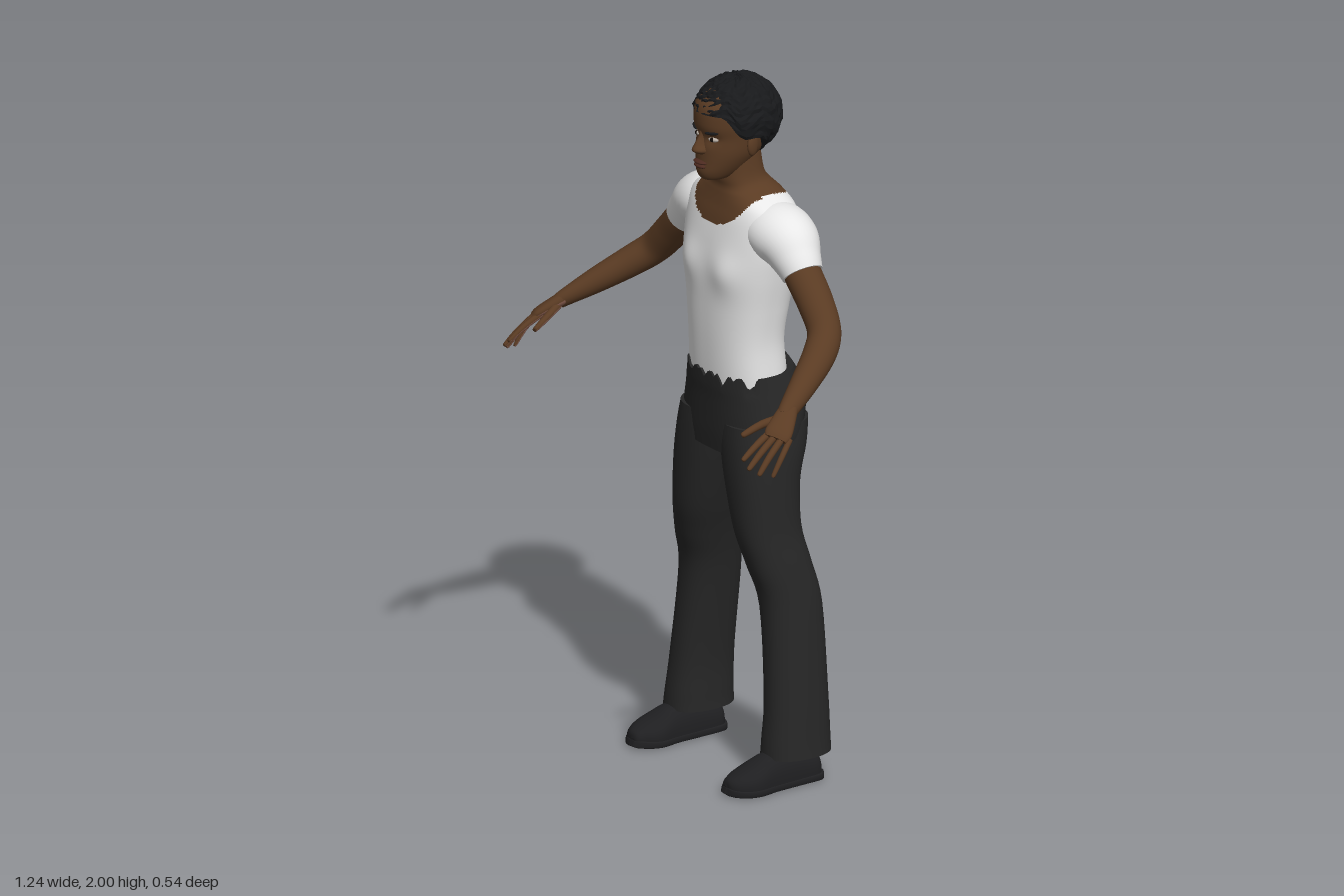
import * as THREE from 'three';
import { mergeGeometries } from 'three/addons/utils/BufferGeometryUtils.js';

const mat = (name, color, side = THREE.FrontSide) => {
  const m = new THREE.MeshStandardMaterial({ color, side });
  m.name = name;
  return m;
};
const V = (x, y, z) => new THREE.Vector3(x, y, z);

// Smoothly subdivide rows of numbers (Catmull-Rom on every column)
function refine(rows, k) {
  const out = [], n = rows.length - 1;
  for (let i = 0; i < n; i++) for (let j = 0; j < k; j++) {
    const t = j / k, p = rows[Math.max(i - 1, 0)], a = rows[i], b = rows[i + 1], q = rows[Math.min(i + 2, n)];
    out.push(a.map((v, c) => v + 0.5 * ((b[c] - p[c]) * t + (2 * p[c] - 5 * v + 4 * b[c] - q[c]) * t * t
      + (3 * v - p[c] - 3 * b[c] + q[c]) * t * t * t)));
  }
  out.push(rows[n]);
  return out;
}

// Skin a stack of closed rings; fn(row, angle) gives a point, the ends are capped
function skin(rows, sides, fn, caps = true) {
  const pos = [], idx = [], n = rows;
  const ring = (j) => {
    for (let i = 0; i < sides; i++) pos.push(...fn(j, (i / sides) * Math.PI * 2).toArray());
  };
  for (let j = 0; j < n; j++) ring(j);
  for (let j = 0; j < n - 1; j++) for (let i = 0; i < sides; i++) {
    const a = j * sides + i, b = j * sides + (i + 1) % sides;
    idx.push(a, b, b + sides, a, b + sides, a + sides);
  }
  if (caps) for (const j of [0, n - 1]) {
    const s = pos.length / 3, c = V(0, 0, 0);
    ring(j);
    for (let i = 0; i < sides; i++) c.add(fn(j, (i / sides) * Math.PI * 2));
    pos.push(...c.divideScalar(sides).toArray());
    for (let i = 0; i < sides; i++) {
      const a = s + i, b = s + (i + 1) % sides;
      idx.push(s + sides, j ? a : b, j ? b : a);
    }
  }
  const g = new THREE.BufferGeometry();
  g.setAttribute('position', new THREE.Float32BufferAttribute(pos, 3));
  g.setIndex(idx);
  g.computeVertexNormals();
  return g;
}
const pw = (v, e) => Math.sign(v) * Math.abs(v) ** (2 / e);

// Horizontal rings: rows of [y, xMin, xMax, zFront, zBack]
function body(rows, k, sides, e, rule = (p) => p) {
  const r = refine(rows, k);
  return skin(r.length, sides, (j, a) => {
    const [y, x0, x1, zf, zb] = r[j];
    return rule(V((x0 + x1) / 2 + (x1 - x0) / 2 * pw(Math.sin(a), e), y, (zf + zb) / 2 + (zf - zb) / 2 * pw(Math.cos(a), e)));
  });
}
const sym = (rows) => rows.map(([y, w, f, b]) => [y, -w, w, f, b]);

// Rings across a path: rows of [x, y, z, width, thickness]; ref is the thickness direction
function tube(rows, k, sides, ref, e = 2, rule = (p) => p) {
  const r = refine(rows, k), at = (j) => V(...r[Math.min(Math.max(j, 0), r.length - 1)]);
  return skin(r.length, sides, (j, a) => {
    const T = at(j + 1).sub(at(j - 1)).normalize();
    const B = ref.clone().addScaledVector(T, -ref.dot(T)).normalize(), A = T.clone().cross(B);
    return rule(at(j).addScaledVector(A, r[j][3] * pw(Math.sin(a), e)).addScaledVector(B, r[j][4] * pw(Math.cos(a), e)));
  });
}

// Sort faces into two material groups: second material where rule(centre, normal) holds
function paint(g, rule) {
  const P = g.attributes.position, id = g.index.array, sets = [[], []], tri = new THREE.Triangle();
  for (let i = 0; i < id.length; i += 3) {
    tri.setFromAttributeAndIndices(P, id[i], id[i + 1], id[i + 2]);
    const pick = rule(tri.getMidpoint(V(0, 0, 0)), tri.getNormal(V(0, 0, 0))) ? 1 : 0;
    sets[pick].push(id[i], id[i + 1], id[i + 2]);
  }
  g.setIndex([...sets[0], ...sets[1]]);
  g.clearGroups();
  g.addGroup(0, sets[0].length, 0);
  g.addGroup(sets[0].length, sets[1].length, 1);
  return g;
}
function mirror(g) {
  const m = g.clone().scale(-1, 1, 1), id = m.index.array;
  for (let i = 0; i < id.length; i += 3) [id[i], id[i + 1]] = [id[i + 1], id[i]];
  return m;
}
const blob = (x, y, z, rx, ry, rz, yaw = 0, roll = 0) =>
  new THREE.SphereGeometry(1, 20, 14).scale(rx, ry, rz).rotateZ(roll).rotateY(yaw).translate(x, y, z);
const bell = (v, c, w) => Math.exp(-(((v - c) / w) ** 2));

export function createModel() {
  const root = new THREE.Group();
  root.name = 'standingMan';
  const M = {
    skin: mat('skin', 0x5a3b23), palm: mat('palmSkin', 0x83594a), lips: mat('lips', 0x4c2a20),
    shirt: mat('whiteShirt', 0xe8e8e8), cloth: mat('trouserCloth', 0x262626), shoe: mat('shoeLeather', 0x1f1f21),
    hair: mat('hair', 0x18191b, THREE.DoubleSide), eye: mat('eyeWhite', 0xb8aea4), dark: mat('iris', 0x120c08),
  };
  M.hair.flatShading = true;
  const add = (name, g, m) => {
    const mesh = new THREE.Mesh(g, m);
    mesh.name = name;
    root.add(mesh);
  };
  const pair = (name, g, m) => {
    add(name + 'Left', g, m);
    add(name + 'Right', mirror(g), m);
  };

  // Torso and neck in one surface, with a scooped neckline
  const torso = body(sym([[1.06, .155, -.01, -.2], [1.14, .157, 0, -.212], [1.25, .154, .006, -.205], [1.35, .166, .008, -.218],
    [1.45, .184, .008, -.235], [1.53, .196, -.002, -.24], [1.6, .196, -.016, -.236], [1.64, .178, -.028, -.226],
    [1.67, .128, -.036, -.21], [1.69, .09, -.04, -.193], [1.72, .072, -.038, -.172], [1.79, .064, -.045, -.16]]), 8, 112, 2.4, (p) => {
    if (p.z > -.1) p.z += .012 * bell(Math.abs(p.x), .085, .05) * bell(p.y, 1.46, .055);
    else p.z += .014 * bell(p.x, 0, .035) * bell(p.y, 1.4, .16);
    return p;
  });
  paint(torso, (c) => c.y > 1.685 || (c.x / .125) ** 2 + ((c.y - 1.69) / (c.z > -.1 ? .108 : .045)) ** 2 < 1);
  add('shirtTorsoAndNeck', torso, [M.shirt, M.skin]);

  // Sleeves and arms
  const back = V(0, 0, -1);
  pair('shirtSleeve', tube([[.08, 1.585, -.13, .07, .085], [.15, 1.578, -.132, .082, .095], [.205, 1.56, -.132, .08, .088],
    [.25, 1.523, -.128, .065, .069], [.278, 1.493, -.126, .056, .058]], 6, 36, back), M.shirt);
  pair('arm', tube([[.22, 1.55, -.13, .048, .05], [.277, 1.495, -.126, .05, .053], [.34, 1.43, -.125, .049, .051],
    [.4, 1.367, -.112, .046, .047], [.443, 1.323, -.065, .043, .046], [.49, 1.27, .02, .035, .038],
    [.527, 1.226, .095, .024, .028], [.538, 1.212, .115, .02, .025]], 6, 28, V(0, 0, 1)), M.skin);

  // Hands: palm, four fingers and a thumb, lighter on the palm side
  const palmDir = V(-.0035, -.0056, -.0023).normalize();
  const digits = [
    [[.547, 1.185, .165], [.553, 1.155, .222], [.556, 1.125, .266]], [[.566, 1.178, .165], [.575, 1.14, .222], [.58, 1.105, .264]],
    [[.583, 1.173, .155], [.594, 1.13, .207], [.599, 1.09, .243]], [[.596, 1.168, .14], [.609, 1.125, .178], [.613, 1.082, .207]],
    [[.533, 1.208, .115], [.508, 1.192, .17], [.494, 1.168, .223]]];
  const hand = mergeGeometries([
    tube([[.525, 1.23, .09, .024, .021], [.545, 1.208, .122, .032, .018], [.568, 1.182, .158, .038, .015],
      [.576, 1.17, .174, .032, .01]], 5, 24, palmDir, 2.3),
    ...digits.map((d, i) => {
      const r = i === 4 ? .012 : i === 3 ? .0085 : .01;
      const tip = d[2].map((v, c) => v + (v - d[1][c]) * .06);
      return tube([[...d[0], r, r], [...d[1], r * .95, r * .9], [...d[2], r * .7, r * .6], [...tip, r * .2, r * .2]], 4, 12, palmDir);
    })]);
  pair('hand', paint(hand, (c, n) => n.dot(palmDir) > .35), [M.skin, M.palm]);

  // Trousers: hips with an uneven front waist edge, and two flared legs
  add('trouserHips', body(sym([[.93, .2, -.004, -.222], [.98, .205, 0, -.24], [1.03, .198, .002, -.258], [1.08, .186, .004, -.268],
    [1.12, .174, .007, -.26], [1.16, .162, .008, -.236]]), 6, 96, 2.4, (p) => {
    const edge = THREE.MathUtils.smoothstep(p.y, 1.09, 1.16);
    if (p.z > -.06) p.y -= edge * (.022 * Math.max(0, Math.sin(p.x * 85 + 1.6)) + .012 * Math.max(0, Math.sin(p.x * 190)));
    else p.y += edge * .015 * bell(p.x, 0, .07);
    if (p.z < -.15) p.z += .022 * bell(p.x, 0, .03) * bell(p.y, 1.02, .07);
    return p;
  }), M.cloth);
  pair('trouserLeg', body([[.085, .155, .307, -.034, -.237], [.13, .157, .302, -.038, -.236], [.25, .155, .29, -.05, -.235],
    [.5, .122, .262, -.058, -.235], [.62, .095, .243, -.03, -.214], [.72, .064, .225, -.008, -.196], [.85, .026, .216, 0, -.203],
    [.95, -.002, .208, 0, -.235], [1.02, -.01, .195, -.004, -.25]], 5, 40, 2.3), M.cloth);

  // Shoes: rounded upper on a flat sole
  const up = V(0, 1, 0);
  pair('shoeUpper', tube([[.23, .02, -.205, .025, .04], [.23, .02, -.185, .045, .06], [.23, .02, -.12, .05, .078],
    [.231, .02, -.04, .053, .078], [.231, .02, .02, .059, .055], [.226, .02, .06, .048, .04], [.22, .02, .085, .026, .026],
    [.219, .02, .092, .01, .01]], 5, 28, up, 2.4, (p) => p.setY(Math.max(p.y, .015))), M.shoe);
  pair('shoeSole', tube([[.23, .011, -.21, .028, .011], [.23, .011, -.19, .05, .011], [.23, .011, -.12, .054, .011],
    [.231, .011, -.04, .056, .011], [.231, .011, .02, .064, .011], [.226, .012, .06, .053, .011], [.22, .015, .088, .028, .011],
    [.219, .017, .096, .008, .008]], 4, 24, up, 6), M.shoe);

  // Head, nose, ears and mouth
  add('head', body(sym([[1.712, .02, .002, -.05], [1.72, .038, .016, -.08], [1.74, .054, .024, -.12], [1.77, .07, .022, -.15],
    [1.8, .081, .02, -.18], [1.84, .087, .017, -.2], [1.88, .091, .025, -.21], [1.93, .088, .018, -.2], [1.97, .058, -.02, -.15]]),
  6, 48, 2.1, (p) => {
    if (p.z > -.05) p.z -= .008 * bell(Math.abs(p.x), .036, .018) * bell(p.y, 1.838, .014);
    return p;
  }), M.skin);
  add('nose', body(sym([[1.79, .012, .022, -.02], [1.797, .02, .038, -.02], [1.806, .021, .046, -.02], [1.822, .014, .038, -.02],
    [1.842, .01, .026, -.02], [1.862, .012, .02, -.02]]), 5, 24, 2), M.skin);
  add('upperLip', blob(0, 1.768, .02, .026, .006, .015), M.lips);
  add('lowerLip', blob(0, 1.757, .02, .023, .007, .014), M.lips);
  pair('ear', blob(.089, 1.82, -.092, .01, .032, .021, .3), M.skin);

  // Eyes and brows
  pair('eyeWhite', blob(.036, 1.839, .001, .016, .007, .009, .4), M.eye);
  pair('iris', blob(.036, 1.839, .006, .0065, .0065, .006, .3), M.dark);
  pair('eyebrow', blob(.038, 1.859, .01, .022, .0045, .007, .45, .1), M.hair);

  // Short tufted hair, low at the nape and high on the forehead
  const tuft = (i, j) => {
    const s = Math.sin(i * 12.9898 + j * 78.233) * 43758.5453;
    return s - Math.floor(s);
  };
  const N = 22;
  add('hair', skin(N + 1, 56, (j, a) => {
    const f = Math.cos(a), low = f > 0 ? THREE.MathUtils.lerp(-.33, .25, THREE.MathUtils.smoothstep(f, .35, .8))
      : THREE.MathUtils.lerp(-.33, -1.05, THREE.MathUtils.smoothstep(-f, 0, .6));
    const t = Math.max(j - 1, 0) / (N - 1), phi = low + (Math.PI / 2 - low) * t;
    const i = Math.round(a * 56 / (Math.PI * 2));
    const r = j === 0 ? .78 : j === N ? 1.01 : .965 + .06 * tuft(i, j);
    return V(.112 * r * Math.cos(phi) * Math.sin(a), 1.882 + .117 * r * Math.sin(phi), -.102 + .131 * r * Math.cos(phi) * f);
  }, false), M.hair);

  return root;
}
